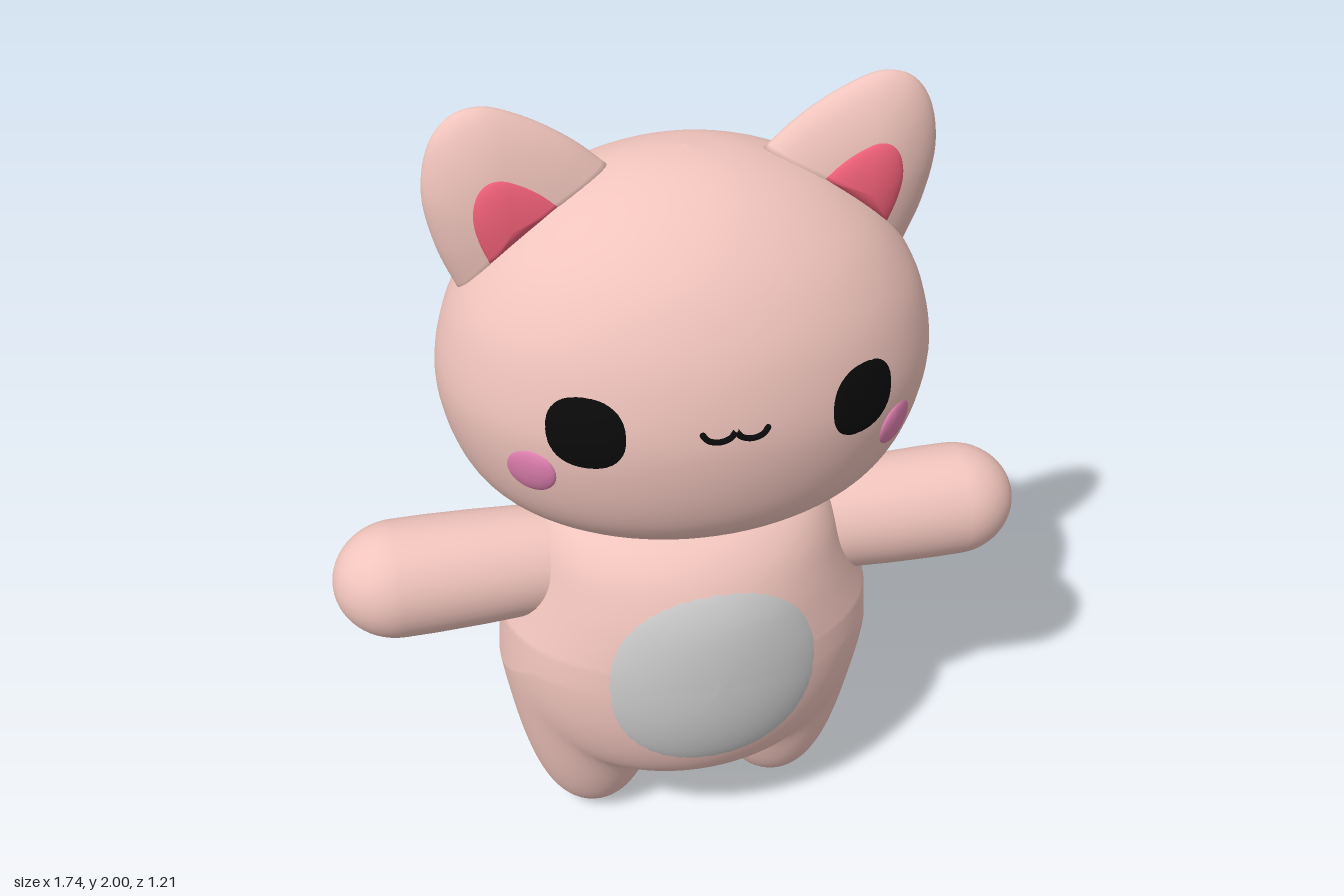
import * as THREE from 'three';

const SKIN = 0xf0c4bc, BLACK = 0x0a0a0a, CZ = 0.155;
const V = (x, y, z) => new THREE.Vector3(x, y, z);
const circle = (n, fn) => Array.from({ length: n }, (_, i) => fn((i / n) * Math.PI * 2));
const steps = (n, fn) => Array.from({ length: n + 1 }, (_, i) => fn(i / n));

// Skin a stack of closed rings (arrays of Vector3) into a smooth surface
function loft(rings, flip = false) {
  const n = rings[0].length, idx = [];
  for (let r = 0; r < rings.length - 1; r++) {
    for (let i = 0; i < n; i++) {
      const a = r * n + i, b = r * n + (i + 1) % n, c = a + n, d = b + n;
      if (flip) idx.push(a, b, c, b, d, c);
      else idx.push(a, c, b, b, c, d);
    }
  }
  const g = new THREE.BufferGeometry().setFromPoints(rings.flat());
  g.setIndex(idx);
  g.computeVertexNormals();
  return g;
}

function part(name, geometry, color, side = THREE.FrontSide) {
  const mesh = new THREE.Mesh(geometry, new THREE.MeshStandardMaterial({ color, side }));
  mesh.name = name;
  return mesh;
}

// Rounded head, oval in plan with a flattened base
function headGeometry() {
  const profile = new THREE.SplineCurve([
    [0.001, 1.0], [0.25, 1.0], [0.37, 1.025], [0.485, 1.1], [0.55, 1.21], [0.58, 1.36],
    [0.557, 1.5], [0.505, 1.61], [0.42, 1.71], [0.29, 1.8], [0.14, 1.855], [0.001, 1.87],
  ].map(([r, y]) => new THREE.Vector2(r, y)));
  return loft(profile.getPoints(66).map(p =>
    circle(80, a => V(p.x * Math.cos(a), p.y, 0.15 + p.x * 0.775 * Math.sin(a)))));
}

// Underside height: rounded belly bottom blended with two stubby legs
function underside(x, z) {
  const s = Math.min(1, Math.hypot(x / 0.48, z / 0.36));
  const belly = 0.6 - 0.4 * Math.sqrt(1 - s ** 4);
  const d = Math.hypot(Math.abs(x) - 0.25, z);
  const leg = 4 * d * d + 110 * d ** 4;
  const k = 0.06, h = Math.max(k - Math.abs(belly - leg), 0) / k;
  return Math.min(belly, leg) - h * h * k / 4;
}

// Body: underside disc continued by oval rings up to the neck
function bodyGeometry() {
  const n = 112;
  const bottom = steps(52, t => {
    const s = Math.max(0.001, Math.sin(t * Math.PI / 2));
    return circle(n, a => {
      const x = 0.48 * s * Math.cos(a), z = 0.36 * s * Math.sin(a);
      return V(x, underside(x, z), 0.15 + z);
    });
  });
  const upper = new THREE.CatmullRomCurve3([
    V(0.472, 0.66, 0.36), V(0.44, 0.73, 0.357), V(0.408, 0.81, 0.345), V(0.38, 0.9, 0.31),
    V(0.35, 0.955, 0.265), V(0.31, 0.988, 0.21), V(0.25, 1.0, 0.16), V(0.001, 1.003, 0.001),
  ]).getPoints(40).map(p => circle(n, a => V(p.x * Math.cos(a), p.y, 0.15 + p.z * Math.sin(a))));
  return loft([...bottom, ...upper]);
}

// Front surface depth of a mesh at x, y
const ray = new THREE.Raycaster();
function frontZ(mesh, x, y) {
  ray.set(V(x, y, 3), V(0, 0, -1));
  const hit = ray.intersectObject(mesh)[0];
  return hit ? hit.point.z : CZ;
}

// Slightly domed rounded patch lying on a mesh's front
function patch(mesh, cx, cy, rx, ry, dome, power) {
  const soft = v => Math.sign(v) * Math.abs(v) ** (2 / power);
  return loft(steps(10, t => {
    const s = Math.max(0.001, Math.cos(t * Math.PI / 2));
    return circle(40, a => {
      const x = cx + rx * s * soft(Math.sin(a)), y = cy + ry * s * soft(Math.cos(a));
      return V(x, y, frontZ(mesh, x, y) - 0.003 + dome * Math.sqrt(1 - s * s));
    });
  }));
}

// Lens-shaped ear, scaled about its middle
function earGeometry(side, scale, z, thick) {
  const outline = new THREE.CatmullRomCurve3([
    [0.51, 1.575], [0.555, 1.69], [0.577, 1.82], [0.553, 1.93], [0.505, 1.985],
    [0.44, 2.0], [0.35, 1.97], [0.25, 1.91], [0.17, 1.84],
  ].map(([x, y]) => V(x, y, 0))).getPoints(40);
  for (let i = 1; i < 10; i++) outline.push(V(0.17 + 0.034 * i, 1.84 - 0.0265 * i, 0));
  return loft(steps(24, t => {
    const a = (t - 0.5) * Math.PI, s = Math.max(0.001, Math.cos(a)) * scale;
    const dz = Math.sign(a) * Math.abs(Math.sin(a)) ** 1.2 * thick;
    return outline.map(p => V(side * (0.4 + (p.x - 0.4) * s), 1.75 + (p.y - 1.75) * s, z + dz));
  }), side > 0);
}

// Tail: upturned sweep that swells to a round tip
function tailGeometry() {
  const path = new THREE.CatmullRomCurve3([
    V(0, 0.395, -0.08), V(0, 0.388, -0.18), V(0, 0.42, -0.28), V(0, 0.5, -0.385), V(0, 0.575, -0.485),
  ]);
  const radius = new THREE.SplineCurve([0.052, 0.055, 0.073, 0.1, 0.115]
    .map((r, i) => new THREE.Vector2(i / 4, r)));
  const ring = (c, t, r) => circle(32, a =>
    V(r * Math.cos(a), c.y - t.z * r * Math.sin(a), c.z + t.y * r * Math.sin(a)));
  const rings = steps(30, u => ring(path.getPoint(u), path.getTangent(u), radius.getPoint(u).y));
  const end = path.getPoint(1), dir = path.getTangent(1);
  for (let i = 1; i <= 10; i++) {
    const a = i / 10 * Math.PI / 2;
    rings.push(ring(end.clone().addScaledVector(dir, 0.115 * Math.sin(a)), dir, Math.max(0.0005, 0.115 * Math.cos(a))));
  }
  return loft(rings);
}

// Arm: round-ended lathe, a little slimmer at the shoulder
function armGeometry(side) {
  const pts = [[0.001, 0.2], [0.125, 0.2], [0.134, 0.35], [0.142, 0.52], [0.145, 0.64]]
    .map(([r, y]) => new THREE.Vector2(r, y));
  for (let i = 0; i <= 14; i++) {
    const a = i / 14 * Math.PI / 2;
    pts.push(new THREE.Vector2(Math.max(0.0005, 0.145 * Math.cos(a)), 0.715 + 0.157 * Math.sin(a)));
  }
  return new THREE.LatheGeometry(pts, 40).rotateZ(-side * Math.PI / 2).translate(0, 0.815, CZ);
}

export function createModel() {
  const model = new THREE.Group();
  const head = part('head', headGeometry(), SKIN);
  const body = part('body', bodyGeometry(), SKIN);
  model.add(head, body);
  model.add(part('tail', tailGeometry(), SKIN));
  model.add(part('bellyPatch', patch(body, 0, 0.617, 0.265, 0.265, 0.014, 2.2), 0xcccccc, THREE.DoubleSide));

  // Paired parts
  for (const [label, side] of [['left', 1], ['right', -1]]) {
    model.add(
      part(label + 'Arm', armGeometry(side), SKIN),
      part(label + 'Ear', earGeometry(side, 1, CZ, 0.08), SKIN),
      part(label + 'InnerEar', earGeometry(side, 0.45, 0.222, 0.025), 0xf06078),
      part(label + 'Eye', patch(head, side * 0.307, 1.405, 0.083, 0.088, 0.01, 2.3), BLACK, THREE.DoubleSide),
      part(label + 'Cheek', patch(head, side * 0.415, 1.28, 0.048, 0.058, 0.018, 2), 0xe080b0, THREE.DoubleSide),
    );
  }

  // Mouth: two small curves meeting in the middle
  const mouth = new THREE.Group();
  mouth.name = 'mouth';
  for (const side of [1, -1]) {
    const curve = new THREE.CatmullRomCurve3(
      [[0, 1.413], [0.012, 1.398], [0.036, 1.391], [0.06, 1.397], [0.071, 1.41]]
        .map(([x, y]) => V(side * x, y, frontZ(head, side * x, y) + 0.001)));
    mouth.add(part('mouthCurve', new THREE.TubeGeometry(curve, 24, 0.007, 8), BLACK));
    const tip = part('mouthCorner', new THREE.SphereGeometry(0.007, 10, 8), BLACK);
    tip.position.copy(curve.getPoint(1));
    mouth.add(tip);
  }
  model.add(mouth);
  return model;
}
